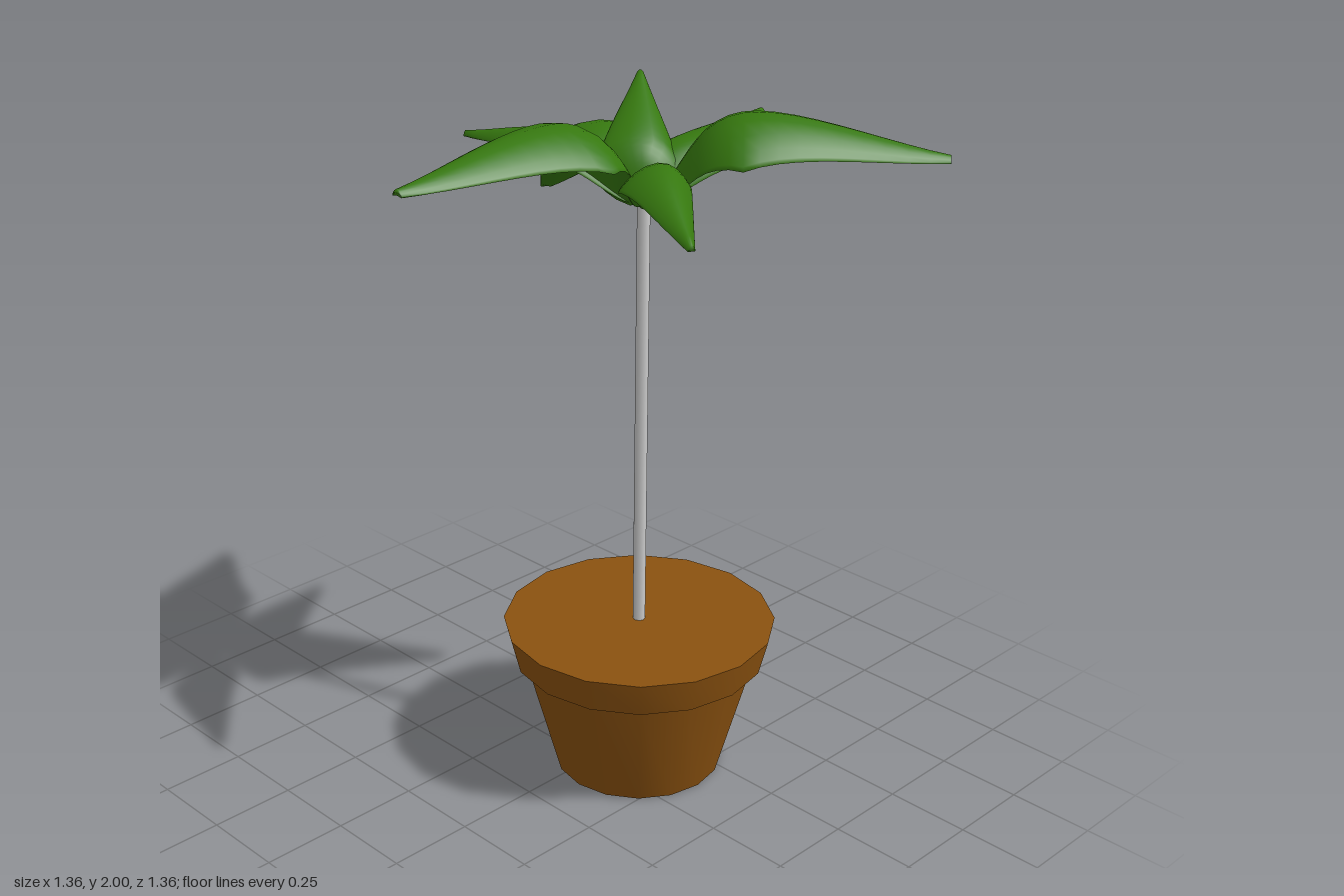
import * as THREE from 'three';
import { toCreasedNormals } from 'three/addons/utils/BufferGeometryUtils.js';

const STEM = { x: 0.125, z: 0.075 };
const green = new THREE.MeshStandardMaterial({ color: 0x36780f, side: THREE.DoubleSide });
const brown = new THREE.MeshStandardMaterial({ color: 0x8b5210 });
const grey = new THREE.MeshStandardMaterial({ color: 0xcccccc });

// Each leaf: ridge point at the widest place, its two edge points there, and the tip.
const LEAVES = [
  { name: 'leftLeaf', crest: [-0.12, 1.97, 0.035], a: [-0.12, 1.88, 0.21], b: [-0.12, 1.88, -0.14], tip: [-0.68, 1.915, 0.037] },
  { name: 'droopingBackLeaf', crest: [0.26, 1.86, -0.23], a: [0.11, 1.81, -0.31], b: [0.42, 1.77, -0.15], tip: [0.47, 1.545, -0.675] },
  { name: 'frontLeaf', crest: [0.28, 1.97, 0.28], a: [0.4, 1.87, 0.16], b: [0.15, 1.87, 0.4], tip: [0.665, 1.86, 0.667] },
  { name: 'smallFrontLeaf', crest: [0, 1.885, 0.25], a: [0.1, 1.81, 0.27], b: [-0.11, 1.83, 0.21], tip: [-0.197, 1.785, 0.548] },
  { name: 'smallBackLeaf', crest: [0.05, 1.88, -0.15], a: [-0.05, 1.83, -0.12], b: [0.15, 1.82, -0.17], tip: [-0.03, 1.84, -0.463] },
  { name: 'smallLeftLeaf', crest: [0.33, 1.855, 0.08], a: [0.25, 1.84, 0], b: [0.4, 1.79, 0.165], tip: [0.665, 1.865, 0.01] },
  { name: 'uprightLeaf', crest: [0.18, 1.87, 0.01], a: [0.105, 1.84, -0.07], b: [0.25, 1.8, 0.09], tip: [0.37, 1.99, -0.18] },
];

// Thin arched blade: elliptical sections swept along the ridge curve.
function leafGeometry({ crest, a, b, tip }) {
  const ROWS = 20, COLS = 20, THICK = 0.008;
  const C = new THREE.Vector3(...crest), T = new THREE.Vector3(...tip);
  const sideA = new THREE.Vector3(...a).sub(C), sideB = new THREE.Vector3(...b).sub(C);
  const base = new THREE.Vector3(STEM.x, 1.73, STEM.z).lerp(new THREE.Vector3(C.x, 1.73, C.z), 0.1);
  const ridge = new THREE.CatmullRomCurve3([base, C, T], false, 'catmullrom', 0.5);
  const tipWidth = 0.1;
  const pos = [], index = [];

  for (let i = 0; i <= ROWS; i++) {
    const u = i / ROWS, p = ridge.getPoint(u);
    const end = u < 0.5 ? base : T;
    const f = Math.min(1, Math.hypot(p.x - C.x, p.z - C.z) / Math.hypot(end.x - C.x, end.z - C.z));
    // Rounded near the stem, straight taper to a blunt tip
    const w = u < 0.5 ? 0.14 + 0.86 * Math.pow(1 - f, 0.75) : 1 - (1 - tipWidth) * f;
    for (let j = 0; j < COLS; j++) {
      const ang = (j / COLS) * Math.PI * 2, s = Math.cos(ang), k = Math.abs(s) * w;
      const side = s > 0 ? sideA : sideB;
      pos.push(p.x + side.x * k, p.y + side.y * s * s * w + THICK * Math.sin(ang), p.z + side.z * k);
    }
  }
  for (let i = 0; i < ROWS; i++) {
    for (let j = 0; j < COLS; j++) {
      const n = (j + 1) % COLS, r = i * COLS, q = r + COLS;
      index.push(r + j, r + n, q + n, r + j, q + n, q + j);
    }
  }
  // End caps join the upper and lower halves of the section
  const last = ROWS * COLS;
  for (let j = 0; j < COLS / 2; j++) {
    const m = (COLS - j) % COLS, k = COLS - j - 1;
    index.push(m, j + 1, j, m, k, j + 1);
    index.push(last + m, last + j, last + j + 1, last + m, last + j + 1, last + k);
  }
  const g = new THREE.BufferGeometry();
  g.setAttribute('position', new THREE.Float32BufferAttribute(pos, 3));
  g.setIndex(index);
  g.computeVertexNormals();
  return g;
}

export function createModel() {
  const model = new THREE.Group();
  model.name = 'pottedPlant';

  // Tapered pot with a wider rim and closed top
  const profile = [[0, 0], [0.247, 0], [0.345, 0.36], [0.37, 0.36], [0.396, 0.465], [0, 0.465]]
    .map(([r, y]) => new THREE.Vector2(r, y));
  const pot = new THREE.Mesh(toCreasedNormals(new THREE.LatheGeometry(profile, 16), 0.6), brown);
  pot.name = 'pot';
  pot.position.set(0.128, 0, 0.073);
  model.add(pot);

  // Slim straight stem
  const stem = new THREE.Mesh(new THREE.CylinderGeometry(0.018, 0.018, 1.29, 8), grey);
  stem.name = 'stem';
  stem.position.set(STEM.x, 1.105, STEM.z);
  model.add(stem);

  // Crown of leaves
  const crown = new THREE.Group();
  crown.name = 'leaves';
  for (const leaf of LEAVES) {
    const mesh = new THREE.Mesh(leafGeometry(leaf), green);
    mesh.name = leaf.name;
    crown.add(mesh);
  }
  model.add(crown);
  return model;
}
